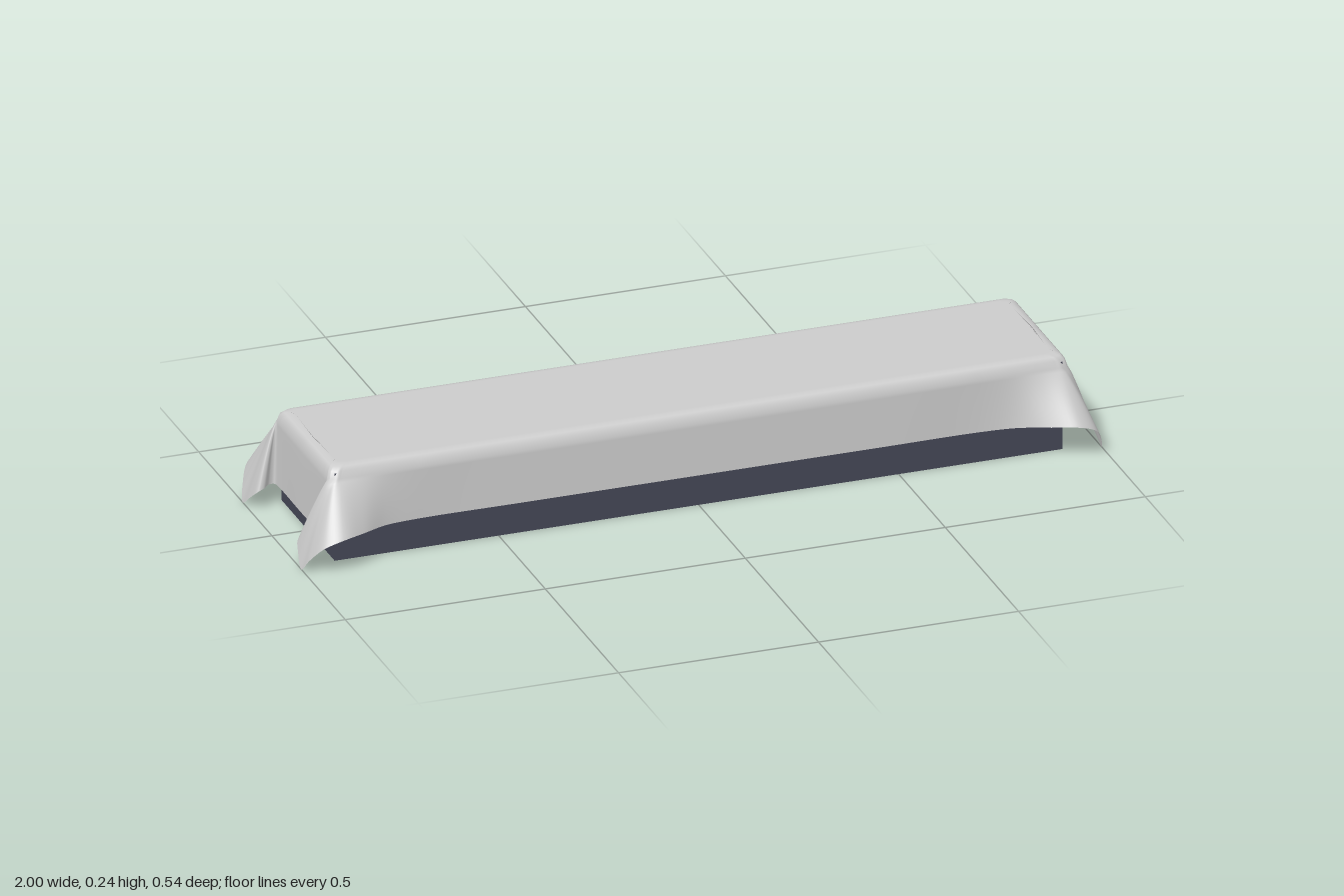
import * as THREE from 'three';

// One quarter of the cloth, from the middle of the front to the middle of the end:
// [hem x, hem y, hem z, shoulder x, shoulder z]
const QUARTER = [
  [0, 0.08, 0.19, 0, 0.187],
  [0.45, 0.08, 0.19, 0.45, 0.187],
  [0.7, 0.08, 0.19, 0.7, 0.187],
  [0.79, 0.083, 0.205, 0.78, 0.187],
  [0.86, 0.09, 0.245, 0.85, 0.187],
  [0.92, 0.092, 0.272, 0.895, 0.187],
  [0.965, 0.073, 0.262, 0.905, 0.187],
  [0.99, 0.032, 0.228, 0.912, 0.184],
  [1, 0, 0.2, 0.918, 0.181],
  [0.995, 0.026, 0.165, 0.921, 0.179],
  [0.985, 0.05, 0.138, 0.923, 0.176],
  [0.968, 0.057, 0.14, 0.924, 0.174],
  [0.95, 0.056, 0.158, 0.925, 0.171],
  [0.936, 0.055, 0.16, 0.925, 0.168],
  [0.932, 0.055, 0.13, 0.925, 0.15],
  [0.932, 0.055, 0, 0.925, 0],
];
const SHOULDER_Y = 0.212;
const TOP_Y = 0.24;

// Mirrors a quarter into a closed smooth loop
function loop(toPoint) {
  const points = [];
  for (const [sx, sz] of [[1, 1], [1, -1], [-1, -1], [-1, 1]]) {
    const part = sx * sz > 0 ? QUARTER : [...QUARTER].reverse();
    for (const row of part.slice(0, -1)) {
      points.push(toPoint(row).multiply(new THREE.Vector3(sx, 1, sz)));
    }
  }
  return new THREE.CatmullRomCurve3(points, true);
}

function clothGeometry() {
  const hem = loop((r) => new THREE.Vector3(r[0], r[1], r[2]));
  const shoulder = loop((r) => new THREE.Vector3(r[3], SHOULDER_Y, r[4]));
  const count = (QUARTER.length - 1) * 4 * 6;

  // Rings run from the centre line of the top, over the rounded edge, to the hem
  const topRings = [
    { y: TOP_Y, inset: 0.026, flat: 0 },
    { y: TOP_Y, inset: 0.032, flat: 1 },
    { y: TOP_Y, inset: 0.024, flat: 1 },
    { y: 0.237, inset: 0.013, flat: 1 },
    { y: 0.229, inset: 0.005, flat: 1 },
  ];
  const drops = 16;
  const positions = [];
  const inward = (v, d) => Math.sign(v) * Math.max(Math.abs(v) - d, 0);

  for (const { y, inset, flat } of topRings) {
    for (let i = 0; i < count; i++) {
      const p = shoulder.getPoint(i / count);
      positions.push(inward(p.x, inset), y, inward(p.z, inset) * flat);
    }
  }
  for (let j = 0; j <= drops; j++) {
    const t = j / drops;
    for (let i = 0; i < count; i++) {
      const a = shoulder.getPoint(i / count);
      const b = hem.getPoint(i / count);
      // The corner flaps swing outward in a slight arch
      positions.push(
        THREE.MathUtils.lerp(a.x, b.x, t ** 0.8),
        Math.max(THREE.MathUtils.lerp(a.y, b.y, t), 0),
        THREE.MathUtils.lerp(a.z, b.z, t),
      );
    }
  }

  const index = [];
  for (let j = 0; j < topRings.length + drops; j++) {
    for (let i = 0; i < count; i++) {
      const k = (i + 1) % count;
      const a = j * count + i, b = j * count + k;
      index.push(a, a + count, b, b, a + count, b + count);
    }
  }
  const geometry = new THREE.BufferGeometry();
  geometry.setAttribute('position', new THREE.Float32BufferAttribute(positions, 3));
  geometry.setIndex(index);
  geometry.computeVertexNormals();
  return geometry;
}

export function createModel() {
  const model = new THREE.Group();
  model.name = 'coveredTable';

  // Solid dark block under the cloth
  const base = new THREE.Mesh(
    new THREE.BoxGeometry(1.82, 0.225, 0.364),
    new THREE.MeshStandardMaterial({ color: 0x444656 }),
  );
  base.name = 'base';
  base.position.y = 0.1125;
  model.add(base);

  // Draped cloth with folded corner flaps
  const cloth = new THREE.Mesh(
    clothGeometry(),
    new THREE.MeshStandardMaterial({ color: 0xcccccc, side: THREE.DoubleSide }),
  );
  cloth.name = 'cloth';
  model.add(cloth);

  return model;
}
